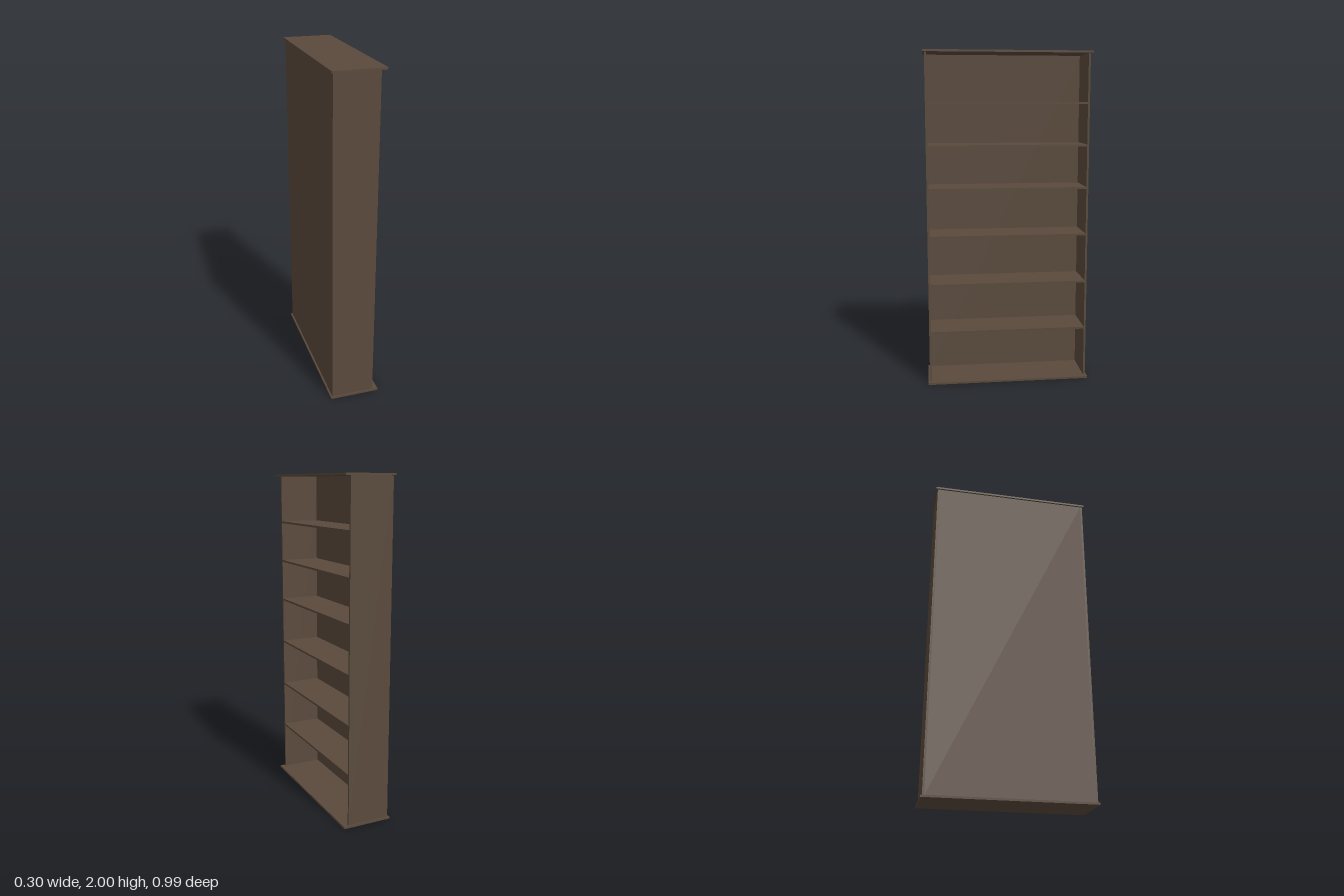
import * as THREE from 'three';

export function createModel() {
  const model = new THREE.Group();
  model.name = 'bookcase';
  const wood = new THREE.MeshStandardMaterial({ color: 0x5a4a3c });

  // Board given by its lower and upper corners
  function board(name, [x0, y0, z0], [x1, y1, z1]) {
    const mesh = new THREE.Mesh(new THREE.BoxGeometry(x1 - x0, y1 - y0, z1 - z0), wood);
    mesh.position.set((x0 + x1) / 2, (y0 + y1) / 2, (z0 + z1) / 2);
    mesh.name = name;
    model.add(mesh);
  }

  const T = 0.012;              // board thickness
  const BACK = -0.14, FRONT = 0.118;
  const OUTER = 0.485, INNER = OUTER - T;

  // Overhanging base and top
  board('base', [-0.15, 0, -0.494], [0.15, T, 0.494]);
  board('top', [-0.15, 2 - T, -0.494], [0.15, 2, 0.494]);

  // Side panels
  board('leftSide', [BACK, T, INNER], [FRONT, 2 - T, OUTER]);
  board('rightSide', [BACK, T, -OUTER], [FRONT, 2 - T, -INNER]);

  // Back panel between the sides
  board('backPanel', [BACK, T, -INNER], [BACK + T, 2 - T, INNER]);

  // Shelves, open towards +x
  [0.318, 0.614, 0.909, 1.195, 1.45, 1.7].forEach((y, i) => {
    board(`shelf${i + 1}`, [BACK + T, y - T / 2, -INNER], [FRONT, y + T / 2, INNER]);
  });

  return model;
}
